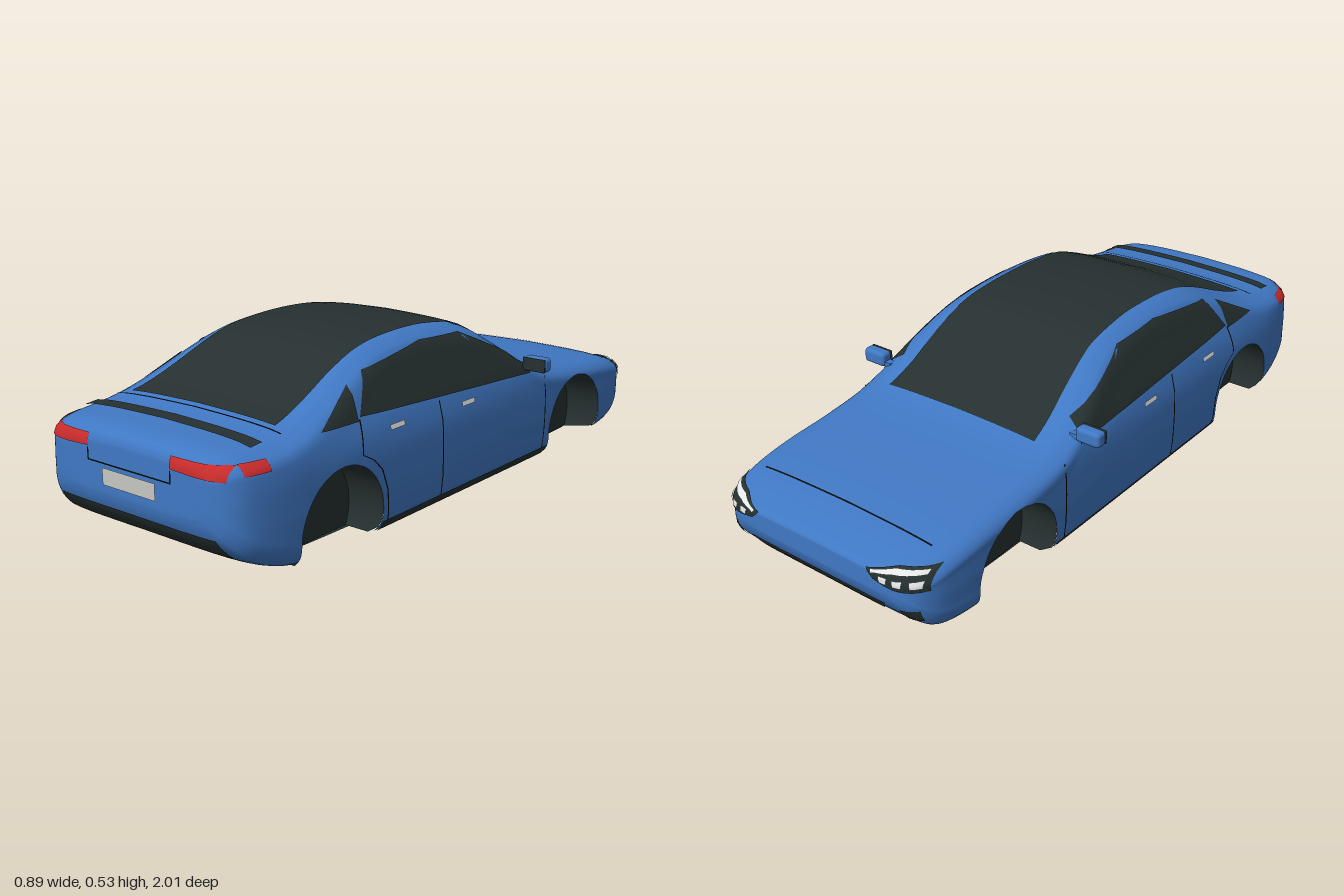
import * as THREE from 'three';
import { RoundedBoxGeometry } from 'three/addons/geometries/RoundedBoxGeometry.js';

const mat = (name, color, side = THREE.FrontSide) => {
  const m = new THREE.MeshStandardMaterial({ color, side });
  m.name = name;
  return m;
};
const paint = mat('bluePaint', 0x4078c4);
const dark = mat('darkTrim', 0x263030, THREE.DoubleSide);
const black = mat('blackGap', 0x0c1010, THREE.DoubleSide);
const red = mat('redLamp', 0xcc2c2c, THREE.DoubleSide);
const grey = mat('plateGrey', 0xc6c7c3, THREE.DoubleSide);
const white = mat('lampWhite', 0xe6e8e8, THREE.DoubleSide);

// Body stations from nose to tail: z, top, bottom, width factor
const STATIONS = [
  [-1, .215, .155, .68], [-.99, .227, .125, .8], [-.965, .238, .085, .89], [-.92, .254, .04, .955],
  [-.85, .27, .02, .985], [-.74, .285, .012, 1], [-.58, .301, .008, 1], [-.43, .325, .006, 1],
  [-.32, .37, .005, 1], [-.22, .437, .005, 1], [-.1, .503, .005, 1], [.02, .527, .005, 1],
  [.16, .535, .005, 1], [.29, .53, .005, 1], [.4, .514, .005, 1], [.5, .478, .006, 1],
  [.6, .434, .008, 1], [.7, .396, .012, 1], [.79, .377, .02, .995], [.87, .37, .045, .975],
  [.935, .366, .08, .935], [.975, .357, .12, .86], [.993, .342, .155, .77], [1, .322, .185, .66]];

// Half width of the body at each height
const WIDTHS = [[0, .377], [.05, .381], [.15, .386], [.24, .385], [.29, .381], [.33, .37],
  [.36, .357], [.43, .326], [.5, .296], [.54, .284]];
function widthAt(y) {
  const i = Math.max(1, WIDTHS.findIndex(p => p[0] >= y));
  const [a, b] = [WIDTHS[i - 1], WIDTHS[i]];
  return a[1] + (b[1] - a[1]) * (y - a[0]) / (b[0] - a[0]);
}

// One closed ring of the body, clockwise from the top centre
function ring([z, top, bot, k], shrink = 1) {
  const h = Math.min(1, (top - bot) / .2), wt = widthAt(top), wb = widthAt(bot);
  const pts = [[0, top], [.5 * wt, top - .004 * h], [.83 * wt, top - .012 * h], [.95 * wt, top - .024 * h]];
  for (let i = 0; i <= 6; i++) {
    const y = THREE.MathUtils.lerp(top - .048 * h, bot + .055 * h, i / 6);
    pts.push([widthAt(y), y]);
  }
  pts.push([.975 * wb, bot + .025 * h], [.9 * wb, bot + .008 * h], [.6 * wb, bot], [0, bot]);
  const half = new THREE.SplineCurve(pts.map(p => new THREE.Vector2(...p))).getPoints(44);
  const mid = (top + bot) / 2;
  const out = half.map(p => [p.x * k * shrink, mid + (p.y - mid) * shrink, z]);
  return out.concat(out.slice(1, -1).reverse().map(p => [-p[0], p[1], p[2]]));
}

// Smooth loft through the stations, with closed ends
function bodyGeometry() {
  const n = STATIONS.length, rings = [], at = i => STATIONS[Math.min(n - 1, Math.max(0, i))];
  const cr = (a, b, c, d, t) => b + .5 * t * (c - a + t * (2 * a - 5 * b + 4 * c - d + t * (3 * (b - c) + d - a)));
  for (const s of [0, .5, .85]) rings.push(ring(at(0), s));
  for (let i = 0; i < n - 1; i++) for (let j = 0; j < 4; j++)
    rings.push(ring(at(i).map((v, c) => cr(at(i - 1)[c], v, at(i + 1)[c], at(i + 2)[c], j / 4))));
  for (const s of [1, .85, .5, 0]) rings.push(ring(at(n - 1), s));
  const m = rings[0].length, index = [];
  for (let i = 0; i < rings.length - 1; i++) for (let j = 0; j < m; j++) {
    const a = i * m + j, c = i * m + (j + 1) % m;
    index.push(a, a + m, c, c, a + m, c + m);
  }
  const g = new THREE.BufferGeometry();
  g.setAttribute('position', new THREE.Float32BufferAttribute(rings.flat(2), 3));
  g.setIndex(index);
  g.computeVertexNormals();
  return g;
}

// Cut triangles along f = 0 into an inside (f > 0) and an outside list
function split(tris, f) {
  const sides = [[], []];
  for (const tri of tris) {
    const d = tri.map(f);
    [1, -1].forEach((sign, s) => {
      const poly = [];
      for (let i = 0; i < 3; i++) {
        const j = (i + 1) % 3;
        if (d[i] * sign >= 0) poly.push(tri[i]);
        if (d[i] * d[j] < 0) poly.push(tri[i].map((v, c) => v + (tri[j][c] - v) * d[i] / (d[i] - d[j])));
      }
      for (let i = 2; i < poly.length; i++) sides[s].push([poly[0], poly[i - 1], poly[i]]);
    });
  }
  return sides;
}
function fromTris(tris) {
  const v = tris.flat(), g = new THREE.BufferGeometry();
  g.setAttribute('position', new THREE.Float32BufferAttribute(v.flatMap(p => p.slice(0, 3)), 3));
  g.setAttribute('normal', new THREE.Float32BufferAttribute(v.flatMap(p => p.slice(3)), 3));
  return g;
}

export function createModel() {
  const car = new THREE.Group();
  car.name = 'car';
  const add = (name, geometry, material) => {
    const mesh = new THREE.Mesh(geometry, material);
    mesh.name = name;
    car.add(mesh);
    return mesh;
  };
  const full = new THREE.Mesh(bodyGeometry(), paint), ray = new THREE.Raycaster();
  const V = (x, y, z) => new THREE.Vector3(x, y, z);

  // Directions for laying flat outlines onto the body
  const DIRS = {
    top: (x, z) => [V(x, 2, z), V(0, -1, 0)], rear: (x, y) => [V(x, y, 2), V(0, 0, -1)],
    front: (x, y) => [V(x, y, -2), V(0, 0, 1)], left: (z, y) => [V(2, y, z), V(-1, 0, 0)],
    right: (z, y) => [V(-2, y, z), V(1, 0, 0)] };
  function hit(dir, u, v) {
    ray.set(...DIRS[dir](u, v));
    return ray.intersectObject(full)[0];
  }
  // Thin skin between two outlines a and b, draped over the body
  function patch(name, material, dir, a, b, rows = 4, cols = 4, lift = .003) {
    const fill = l => l.slice(1).flatMap((p, i) => Array.from({ length: cols }, (_, j) =>
      p.map((v, c) => l[i][c] + (v - l[i][c]) * j / cols))).concat([l[l.length - 1]]);
    const A = fill(a), B = fill(b);
    const grid = A.map((p, i) => Array.from({ length: rows + 1 }, (_, r) => {
      const h = hit(dir, ...p.map((v, c) => v + (B[i][c] - v) * r / rows));
      return h && { p: h.point.clone().addScaledVector(h.normal, lift), n: h.normal };
    }));
    const tris = [], put = (...t) => {
      if (!t.every(Boolean)) return;
      const n = t[1].p.clone().sub(t[0].p).cross(t[2].p.clone().sub(t[0].p));
      if (n.dot(t[0].n) < 0) t.reverse();
      tris.push(t.map(q => [...q.p.toArray(), ...q.n.toArray()]));
    };
    for (let i = 0; i < grid.length - 1; i++) for (let r = 0; r < rows; r++) {
      put(grid[i][r], grid[i + 1][r], grid[i][r + 1]);
      put(grid[i][r + 1], grid[i + 1][r], grid[i + 1][r + 1]);
    }
    add(name, fromTris(tris), material);
  }
  const rect = (name, m, dir, u0, u1, v0, v1, rows, cols, lift) =>
    patch(name, m, dir, [[u0, v0], [u1, v0]], [[u0, v1], [u1, v1]], rows, cols, lift);

  // Shell with open wheel arches and a dark floor
  const ARCH = { z: .605, y: .085, r: .167, x: .26 };
  const g = full.geometry.toNonIndexed(), P = g.attributes.position, N = g.attributes.normal, tris = [];
  const vert = i => [P.getX(i), P.getY(i), P.getZ(i), N.getX(i), N.getY(i), N.getZ(i)];
  for (let i = 0; i < P.count; i += 3) tris.push([vert(i), vert(i + 1), vert(i + 2)]);
  const [open] = split(tris, ([x, y, z]) =>
    Math.max(Math.hypot(Math.abs(z) - ARCH.z, y - ARCH.y) - ARCH.r, ARCH.x - Math.abs(x)));
  const [floor, shell] = split(open, ([x, y, z]) => Math.min(ARCH.x - Math.abs(x), (z < 0 ? .04 : .09) - y));
  add('bodyShell', fromTris(shell), paint);
  add('floor', fromTris(floor), dark);

  // Wheel wells: curved liner and inner wall
  const a0 = -.44, a1 = Math.PI + .44;
  for (const s of [1, -1]) for (const e of [1, -1]) {
    const verts = [], index = [];
    for (let i = 0; i <= 32; i++) {
      const t = a0 + (a1 - a0) * i / 32, z = e * ARCH.z + ARCH.r * Math.cos(t), y = ARCH.y + ARCH.r * Math.sin(t);
      const h = hit('left', z, y);
      verts.push(s * ARCH.x, y, z, s * (h ? h.point.x : .34), y, z);
      if (i) index.push(2 * i - 2, 2 * i - 1, 2 * i, 2 * i, 2 * i - 1, 2 * i + 1);
    }
    const liner = new THREE.BufferGeometry();
    liner.setAttribute('position', new THREE.Float32BufferAttribute(verts, 3));
    liner.setIndex(s > 0 ? index : index.reverse());
    liner.computeVertexNormals();
    add('wheelWellLiner', liner, dark);
    const disc = new THREE.ShapeGeometry(new THREE.Shape().absarc(0, 0, ARCH.r, a0, a1), 32);
    const wall = add('wheelWellWall', disc, dark);
    wall.rotation.y = s * Math.PI / 2;
    wall.position.set(s * ARCH.x, ARCH.y, e * ARCH.z);
  }

  // Glass roof from windscreen to rear window
  const roof = [[.275, -.4], [.245, -.1], [.235, .1], [.237, .3], [.25, .52], [.272, .745]];
  patch('glassRoof', dark, 'top', roof, roof.map(([x, z]) => [-x, z]), 14, 6);

  // Side glass, door gaps, handles, sills and lamps on both flanks
  const low = [[.51, .36], [.44, .355], [.165, .34], [-.03, .33], [-.29, .317], [-.32, .315]];
  const high = [[.51, .36], [.44, .465], [.165, .497], [-.03, .487], [-.29, .37], [-.32, .315]];
  const gap = (name, dir, pts) => patch(name, black, dir, pts.map(([u, v]) => [u - .0025, v]), pts.map(([u, v]) => [u + .0025, v]), 1, 5);
  for (const side of ['left', 'right']) {
    const s = side === 'left' ? 1 : -1;
    patch('sideWindow', dark, side, low, high, 6, 5);
    patch('quarterWindow', dark, side, [[.67, .355], [.52, .35]], [[.67, .355], [.51, .44]], 4, 5);
    gap('middleDoorGap', side, [[.165, .33], [.165, .05]]);
    gap('frontDoorGap', side, [[-.4, .29], [-.4, .05]]);
    gap('rearDoorGap', side, [[.515, .355], [.53, .265], [.485, .24], [.45, .205], [.425, .14], [.418, .05]]);
    rect('rearHandle', white, side, .34, .405, .302, .316, 1, 2, .006);
    rect('frontHandle', white, side, .0, .065, .292, .306, 1, 2, .006);
    rect('sill', dark, side, -.43, .44, .02, .05, 2, 16);
    rect('sideTailLamp', red, side, .865, .94, .308, .335, 2, 4);

    // Door mirror
    add('mirrorHousing', new RoundedBoxGeometry(.082, .046, .04, 3, .012), paint).position.set(s * .405, .35, -.314);
    add('mirrorArm', new THREE.BoxGeometry(.04, .015, .025), paint).position.set(s * .362, .338, -.314);
    add('mirrorGlass', new RoundedBoxGeometry(.08, .042, .008, 2, .003), dark).position.set(s * .405, .35, -.294);

    // Lamps and vents at the ends
    const m = pts => pts.map(([x, y]) => [s * x, y]);
    patch('tailLamp', red, 'rear', m([[.155, .305], [.155, .337]]), m([[.325, .298], [.325, .334]]), 6, 2);
    patch('headlampFrame', dark, 'front', m([[.2, .217], [.28, .232], [.36, .236]]), m([[.225, .195], [.29, .184], [.362, .182]]), 4, 5);
    patch('headlampUpper', white, 'front', m([[.215, .217], [.28, .228], [.35, .23]]), m([[.22, .211], [.28, .22], [.35, .222]]), 1, 4, .006);
    for (const x of [.245, .285, .325])
      patch('headlampLens', white, 'front', m([[x, .211], [x + .026, .212]]), m([[x + .004, .196], [x + .026, .196]]), 2, 2, .006);
    patch('cornerVent', dark, 'front', m([[.295, .12], [.345, .125]]), m([[.3, .08], [.345, .085]]), 3, 3);
    gap('bootGapSide', 'rear', [[s * .156, .3], [s * .156, .267]]);
  }

  // Boot, plate and bumpers
  rect('bootGap', black, 'rear', -.157, .157, .265, .269, 1, 12);
  rect('numberPlate', grey, 'rear', -.1, .1, .208, .255, 3, 6, .005);
  patch('rearBumperInsert', dark, 'rear', [[-.31, .09], [.31, .09]], [[-.293, .145], [.293, .145]], 4, 20);
  patch('frontGrille', dark, 'front', [[-.25, .125], [.25, .125]], [[-.22, .075], [.22, .075]], 4, 18);
  rect('bootSpoiler', dark, 'top', -.31, .31, .835, .877, 3, 20, .008);
  rect('bootLidGap', black, 'top', -.31, .31, .763, .768, 1, 20);
  rect('bonnetGap', black, 'top', -.31, .31, -.872, -.867, 1, 20);
  return car;
}
